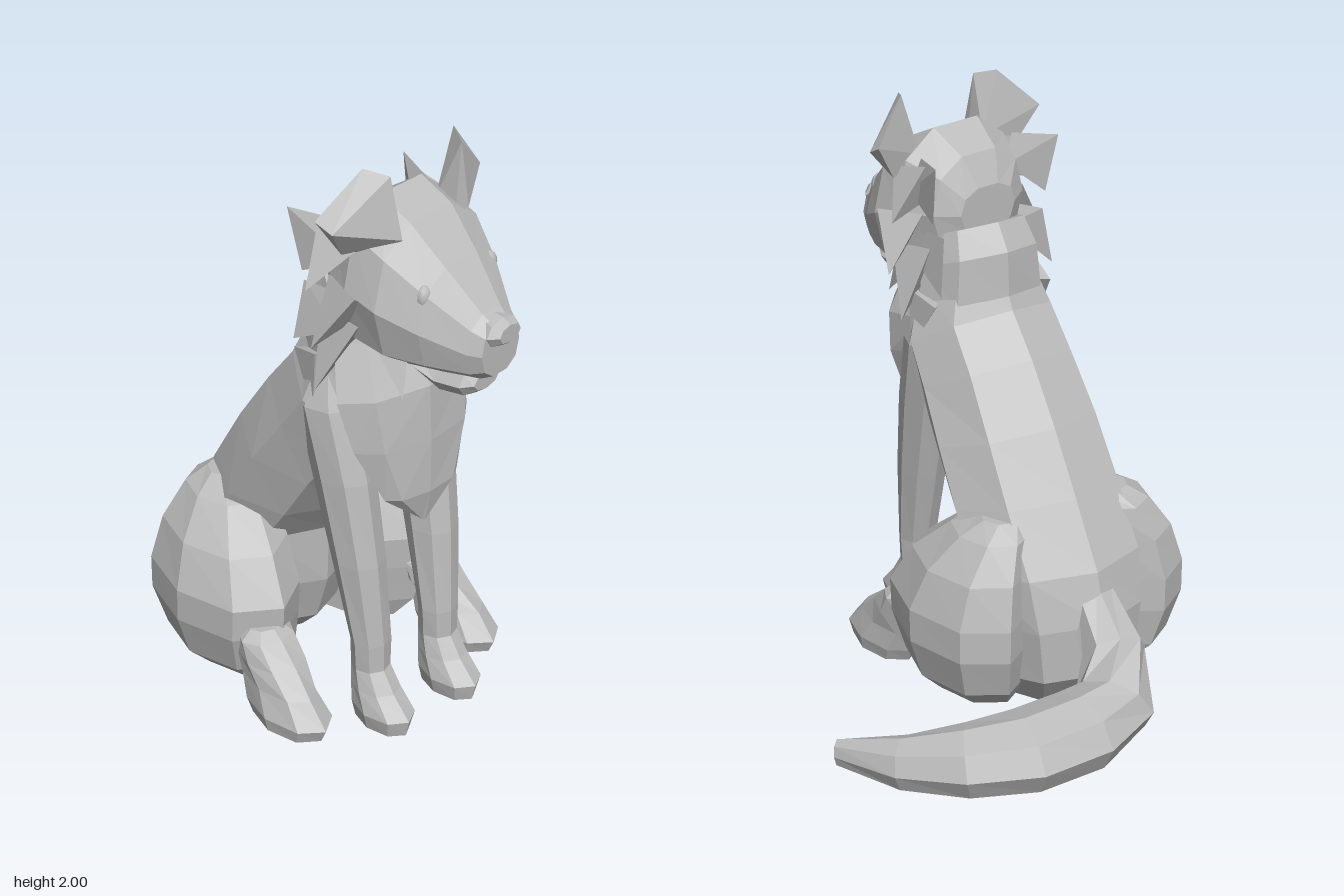
import * as THREE from 'three';
import { ConvexGeometry } from 'three/addons/geometries/ConvexGeometry.js';

const fur = new THREE.MeshStandardMaterial({ color: 0xbcbcbc });
fur.name = 'grey fur';
const V = (x, y, z) => new THREE.Vector3(x, y, z);

// Faceted skin over rings {c, u, v}, closed at both ends and facing outward;
// a power p below 1 makes the rings boxier
function loft(rings, n = 8, p = 1) {
  const bend = (t) => Math.sign(t) * Math.abs(t) ** p;
  const pts = rings.map(({ c, u, v }) => Array.from({ length: n }, (_, i) => {
    const a = (i / n) * Math.PI * 2;
    return c.clone().addScaledVector(u, bend(Math.cos(a))).addScaledVector(v, bend(Math.sin(a)));
  }));
  const tris = [];
  const last = rings.length - 1;
  for (let i = 0; i < n; i++) {
    const j = (i + 1) % n;
    for (let r = 0; r < last; r++) {
      const a = pts[r][i], b = pts[r][j], c = pts[r + 1][j], d = pts[r + 1][i];
      tris.push([a, b, c], [a, c, d]);
    }
    tris.push([rings[0].c, pts[0][j], pts[0][i]], [rings[last].c, pts[last][i], pts[last][j]]);
  }
  let volume = 0;
  for (const [a, b, c] of tris) volume += a.dot(b.clone().cross(c));
  if (volume < 0) tris.forEach((t) => t.reverse());
  const g = new THREE.BufferGeometry().setFromPoints(tris.flat());
  g.computeVertexNormals();
  return g;
}

// Ring spanning two points of the side profile, with half width hw about x
const ring = (x, hw, z1, y1, z2, y2) => ({
  c: V(x, (y1 + y2) / 2, (z1 + z2) / 2),
  u: V(hw, 0, 0),
  v: V(0, (y2 - y1) / 2, (z2 - z1) / 2),
});

function add(parent, name, geometry) {
  const m = new THREE.Mesh(geometry, fur);
  m.name = name;
  parent.add(m);
  return m;
}

// Convex flap on side s
const flap = (s, pts) => new ConvexGeometry(pts.map(([x, y, z]) => V(s * x, y, z)));

// Three-sided fur tuft from base to tip
function tuft(parent, base, tip, r) {
  const d = tip.clone().sub(base);
  const g = new THREE.ConeGeometry(r, d.length(), 3).toNonIndexed();
  g.computeVertexNormals();
  const m = add(parent, 'furTuft', g);
  m.position.copy(base).addScaledVector(d, 0.5);
  m.quaternion.setFromUnitVectors(V(0, 1, 0), d.normalize());
}

export function createModel() {
  const root = new THREE.Group();
  root.name = 'sittingDog';
  const dog = new THREE.Group();
  dog.name = 'body';
  dog.position.x = -0.215;
  root.add(dog);

  // Torso: half width, back point (z, y), belly point (z, y)
  add(dog, 'torso', loft([
    [0.19, -0.36, 0, -0.06, 0], [0.27, -0.47, 0.14, 0.02, 0.08],
    [0.3, -0.48, 0.34, 0.08, 0.26], [0.32, -0.43, 0.52, 0.09, 0.48],
    [0.32, -0.3, 0.74, 0.2, 0.62], [0.31, -0.17, 0.95, 0.31, 0.78],
    [0.29, -0.03, 1.15, 0.42, 0.92], [0.28, 0.09, 1.29, 0.5, 1.05],
    [0.22, 0.14, 1.4, 0.52, 1.3],
  ].map((r) => ring(0, ...r))));

  // Neck ruff and pointed chest bib
  add(dog, 'neck', loft([
    [0.24, 0.11, 1.33, 0.5, 1.18], [0.22, 0.12, 1.49, 0.51, 1.36], [0.19, 0.18, 1.58, 0.48, 1.46],
  ].map((r) => ring(0, ...r))));
  add(dog, 'chestBib', loft([
    [0.23, 0.28, 1.4, 0.5, 1.4], [0.27, 0.32, 1.2, 0.58, 1.24], [0.24, 0.4, 1.05, 0.59, 1.05],
    [0.155, 0.5, 0.87, 0.59, 0.86], [0.01, 0.54, 0.75, 0.565, 0.74],
  ].map((r) => ring(0, ...r))));

  for (const s of [1, -1]) {
    // Front leg with paw: x, half width, y, back z, front z
    add(dog, 'frontLeg', loft([
      [0.15, 0.07, 0, 0.42, 0.65], [0.15, 0.085, 0.06, 0.41, 0.665], [0.15, 0.075, 0.13, 0.41, 0.59],
      [0.15, 0.065, 0.2, 0.41, 0.54], [0.15, 0.07, 0.3, 0.41, 0.54], [0.16, 0.085, 0.6, 0.33, 0.52],
      [0.17, 0.095, 0.9, 0.25, 0.48], [0.18, 0.1, 1.15, 0.19, 0.42], [0.17, 0.06, 1.3, 0.23, 0.36],
    ].map(([x, w, y, b, f]) => ring(s * x, w, b, y, f, y))));

    // Thigh: outer x, y, back z, front z
    add(dog, 'thigh', loft([
      [0.4, 0.02, -0.28, 0.13], [0.48, 0.1, -0.35, 0.19], [0.525, 0.25, -0.39, 0.23],
      [0.525, 0.37, -0.39, 0.24], [0.47, 0.52, -0.36, 0.15], [0.37, 0.64, -0.31, 0.01],
      [0.29, 0.69, -0.25, -0.1],
    ].map(([o, y, b, f]) => ring(s * (o + 0.12) / 2, (o - 0.12) / 2, b, y, f, y))));

    // Hind foot and shin: x, half width, y, back z, front z
    add(dog, 'hindFoot', loft([
      [0.38, 0.095, 0, 0.17, 0.49], [0.38, 0.105, 0.05, 0.14, 0.515], [0.38, 0.085, 0.13, 0.11, 0.44],
      [0.365, 0.1, 0.2, 0.09, 0.35], [0.36, 0.1, 0.27, 0.1, 0.27], [0.36, 0.06, 0.3, 0.13, 0.23],
    ].map(([x, w, y, b, f]) => ring(s * x, w, b, y, f, y))));

    // Shoulder tuft
    tuft(dog, V(s * 0.21, 1.32, 0.28), V(s * 0.26, 1.13, 0.32), 0.08);
  }

  // Tail curling along the ground: centre, half width, half height
  const tail = [
    [-0.01, 0.4, -0.36, 0.09, 0.09], [0.0, 0.27, -0.53, 0.11, 0.11], [0.08, 0.15, -0.65, 0.14, 0.13],
    [0.25, 0.13, -0.695, 0.16, 0.13], [0.47, 0.13, -0.695, 0.165, 0.125], [0.645, 0.115, -0.62, 0.14, 0.115],
    [0.8, 0.085, -0.48, 0.095, 0.09], [0.93, 0.06, -0.28, 0.035, 0.05],
  ];
  const path = tail.map(([x, y, z]) => V(x, y, z));
  add(dog, 'tail', loft(tail.map(([, , , w, h], i) => {
    const t = path[Math.min(i + 1, 7)].clone().sub(path[Math.max(i - 1, 0)]).normalize();
    const side = V(0, 1, 0).cross(t).normalize();
    const up = t.clone().cross(side);
    return { c: path[i], u: side.multiplyScalar(w), v: up.multiplyScalar(h) };
  })));

  // Head, turned a little to its left about the neck
  const pivot = new THREE.Group();
  pivot.name = 'headPivot';
  pivot.position.z = 0.3;
  pivot.rotation.y = 0.13;
  dog.add(pivot);
  const head = new THREE.Group();
  head.name = 'head';
  head.position.z = -0.3;
  pivot.add(head);

  // Skull and muzzle: half width, z, bottom y, top y
  add(head, 'skull', loft([
    [0.12, 0.25, 1.52, 1.69], [0.2, 0.3, 1.42, 1.8], [0.26, 0.42, 1.33, 1.88],
    [0.26, 0.54, 1.32, 1.82], [0.2, 0.66, 1.33, 1.7], [0.115, 0.78, 1.34, 1.57],
    [0.09, 0.82, 1.36, 1.54],
  ].map(([w, z, b, t]) => ring(0, w, z, b, z, t)), 10, 0.85));
  add(head, 'lowerJaw', loft([
    [0.1, 0.56, 1.29, 1.37], [0.095, 0.64, 1.25, 1.36], [0.085, 0.73, 1.26, 1.36], [0.06, 0.77, 1.29, 1.35],
  ].map(([w, z, b, t]) => ring(0, w, z, b, z, t))));
  add(head, 'nose', loft([
    [0.065, 0.79, 1.47, 1.56], [0.075, 0.825, 1.46, 1.555], [0.05, 0.855, 1.48, 1.54],
  ].map(([w, z, b, t]) => ring(0, w, z, b, z, t))));

  for (const s of [1, -1]) {
    // Eye
    const eye = add(head, 'eye', new THREE.SphereGeometry(0.04, 10, 8));
    eye.position.set(s * 0.155, 1.62, 0.645);
    eye.scale.set(0.7, 1, 0.6);

    // Folded ear
    add(head, 'ear', flap(s, [
      [0.14, 1.75, 0.52], [0.27, 1.73, 0.42], [0.165, 1.98, 0.52], [0.21, 2, 0.45],
      [0.355, 1.86, 0.39], [0.345, 1.83, 0.45], [0.155, 1.78, 0.56], [0.14, 1.78, 0.44],
    ]));

    // Broad flaps of fur behind the cheek and beside the neck
    add(head, 'cheekFlap', flap(s, [
      [0.2, 1.8, 0.36], [0.27, 1.82, 0.2], [0.25, 1.61, 0.24], [0.22, 1.68, 0.4], [0.16, 1.7, 0.34],
    ]));
    add(head, 'neckFlap', flap(s, [
      [0.2, 1.55, 0.34], [0.22, 1.56, 0.22], [0.25, 1.36, 0.2], [0.22, 1.43, 0.36], [0.15, 1.48, 0.33],
    ]));

    // Cheek tufts: base, tip, radius
    for (const [bx, by, bz, tx, ty, tz, r] of [
      [0.2, 1.74, 0.37, 0.345, 1.61, 0.34, 0.1],
      [0.22, 1.58, 0.42, 0.345, 1.42, 0.36, 0.1],
      [0.19, 1.47, 0.38, 0.31, 1.25, 0.34, 0.1],
      [0.14, 1.43, 0.5, 0.17, 1.25, 0.58, 0.07],
    ]) tuft(head, V(s * bx, by, bz), V(s * tx, ty, tz), r);
  }
  return root;
}
